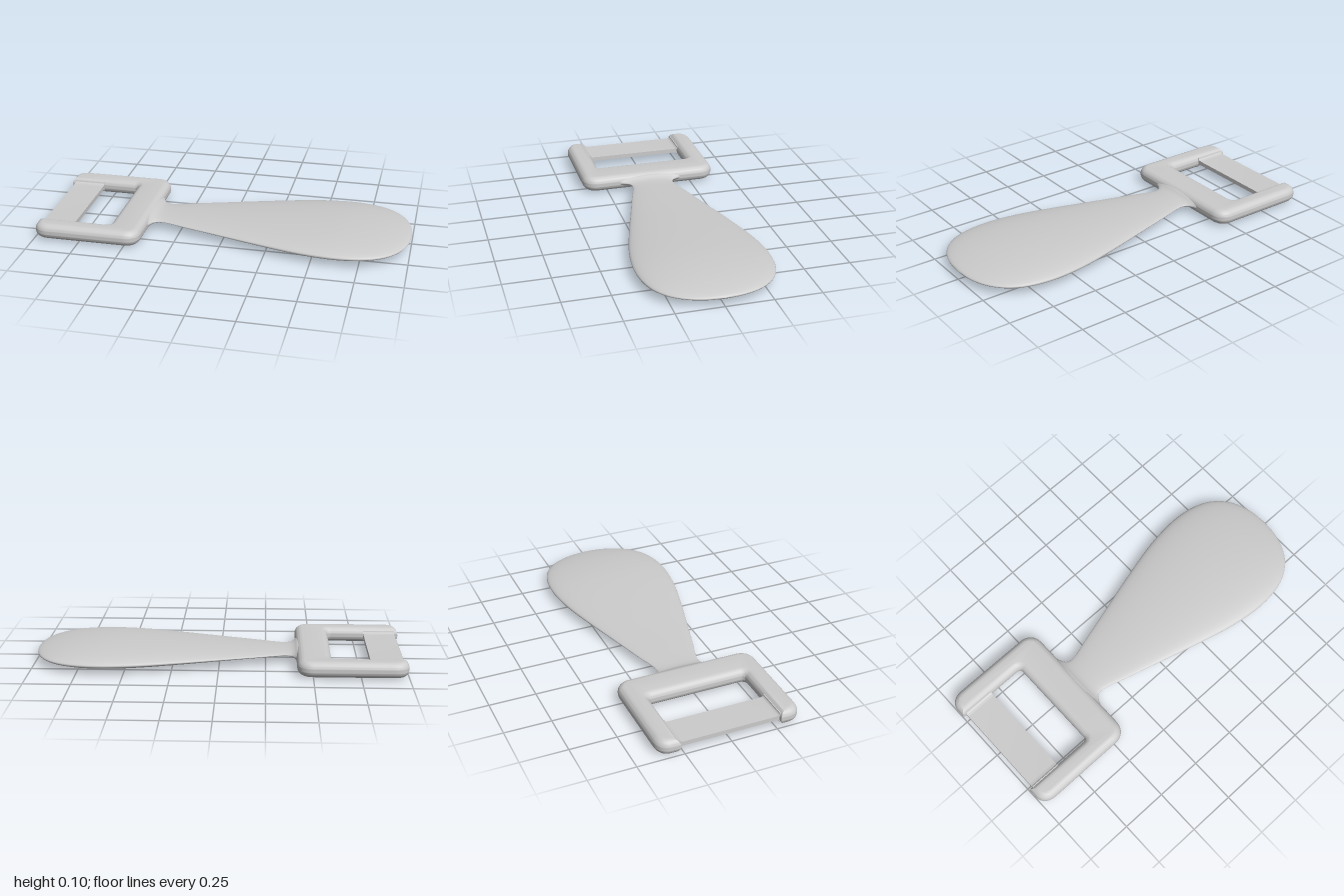
import * as THREE from 'three';
import { mergeVertices, toCreasedNormals } from 'three/addons/utils/BufferGeometryUtils.js';

const MID = 0.048; // height of the symmetry plane
const material = new THREE.MeshStandardMaterial({ color: 0xcccccc });

function part(name, geometry) {
  const mesh = new THREE.Mesh(geometry, material);
  mesh.name = name;
  mesh.position.y = MID;
  return mesh;
}

// Rounded U: two arms joined by a wide crossbar, open towards -x.
// The shape is the core outline; the bevel swells it to full size.
function frameGeometry() {
  const bevel = 0.04, r = 0.045, q = 0.06;
  const back = -0.96, front = -0.455, inner = -0.56, out = 0.348, inn = 0.31;
  const s = new THREE.Shape();
  s.moveTo(back, -inn);
  s.lineTo(back, -out + 0.03);
  s.quadraticCurveTo(back, -out, back + r, -out);
  s.lineTo(front - r, -out);
  s.quadraticCurveTo(front, -out, front, -out + r);
  s.lineTo(front, out - r);
  s.quadraticCurveTo(front, out, front - r, out);
  s.lineTo(back + r, out);
  s.quadraticCurveTo(back, out, back, out - 0.03);
  s.lineTo(back, inn);
  s.lineTo(inner - q, inn);
  s.absarc(inner - q, inn - q, q, Math.PI / 2, 0, true);
  s.lineTo(inner, -inn + q);
  s.absarc(inner - q, -inn + q, q, 0, -Math.PI / 2, true);
  s.closePath();
  const g = new THREE.ExtrudeGeometry(s, {
    depth: 0.002, bevelThickness: 0.0415, bevelSize: bevel, bevelSegments: 10, curveSegments: 10,
  });
  g.translate(0, 0, -0.001);
  g.rotateX(Math.PI / 2);
  return toCreasedNormals(g, 0.7);
}

// Thin strap bar whose ends flare into the arms.
function barGeometry() {
  const t = 0.012, e = 0.026, z0 = 0.245, z1 = 0.272, z2 = 0.3;
  const s = new THREE.Shape();
  s.moveTo(-z0, -t);
  s.lineTo(z0, -t);
  s.quadraticCurveTo(z1, -t, z1, -e);
  s.lineTo(z2, -e);
  s.lineTo(z2, e);
  s.lineTo(z1, e);
  s.quadraticCurveTo(z1, t, z0, t);
  s.lineTo(-z0, t);
  s.quadraticCurveTo(-z1, t, -z1, e);
  s.lineTo(-z2, e);
  s.lineTo(-z2, -e);
  s.lineTo(-z1, -e);
  s.quadraticCurveTo(-z1, -t, -z0, -t);
  const g = new THREE.ExtrudeGeometry(s, { depth: 0.175, bevelEnabled: false, curveSegments: 6 });
  g.rotateY(Math.PI / 2);
  g.translate(-0.98, 0, 0);
  return toCreasedNormals(g, 0.6);
}

// Elliptical sections (x, half width, half thickness) lofted along x.
function paddleGeometry() {
  const sections = [
    [-0.46, 0.27, 0.038], [-0.425, 0.21, 0.031], [-0.405, 0.155, 0.021], [-0.385, 0.128, 0.016],
    [-0.35, 0.121, 0.014], [-0.2, 0.163, 0.019], [0, 0.22, 0.027], [0.2, 0.277, 0.036],
    [0.4, 0.328, 0.044], [0.53, 0.349, 0.0475], [0.64, 0.355, 0.048], [0.75, 0.343, 0.044],
    [0.84, 0.312, 0.037], [0.91, 0.26, 0.028], [0.96, 0.188, 0.019], [0.99, 0.098, 0.01], [1, 0, 0],
  ].map((p) => new THREE.Vector3(...p));
  const curve = new THREE.CatmullRomCurve3(sections, false, 'centripetal');
  const rows = 80, sides = 48, pos = [], idx = [];
  for (let i = 0; i <= rows; i++) {
    const p = curve.getPoint(i / rows);
    for (let j = 0; j < sides; j++) {
      const a = (j / sides) * Math.PI * 2;
      pos.push(p.x, Math.max(p.z, 0) * Math.sin(a), Math.max(p.y, 0) * Math.cos(a));
      if (i === rows) continue;
      const a0 = i * sides + j, b0 = i * sides + ((j + 1) % sides);
      idx.push(a0, a0 + sides, b0, b0, a0 + sides, b0 + sides);
    }
  }
  let g = new THREE.BufferGeometry();
  g.setAttribute('position', new THREE.Float32BufferAttribute(pos, 3));
  g.setIndex(idx);
  g = mergeVertices(g, 1e-5);
  g.computeVertexNormals();
  return g;
}

export function createModel() {
  const model = new THREE.Group();
  model.name = 'buckledPaddle';
  model.add(
    part('buckleFrame', frameGeometry()),
    part('strapBar', barGeometry()),
    part('paddle', paddleGeometry()),
  );
  return model;
}
